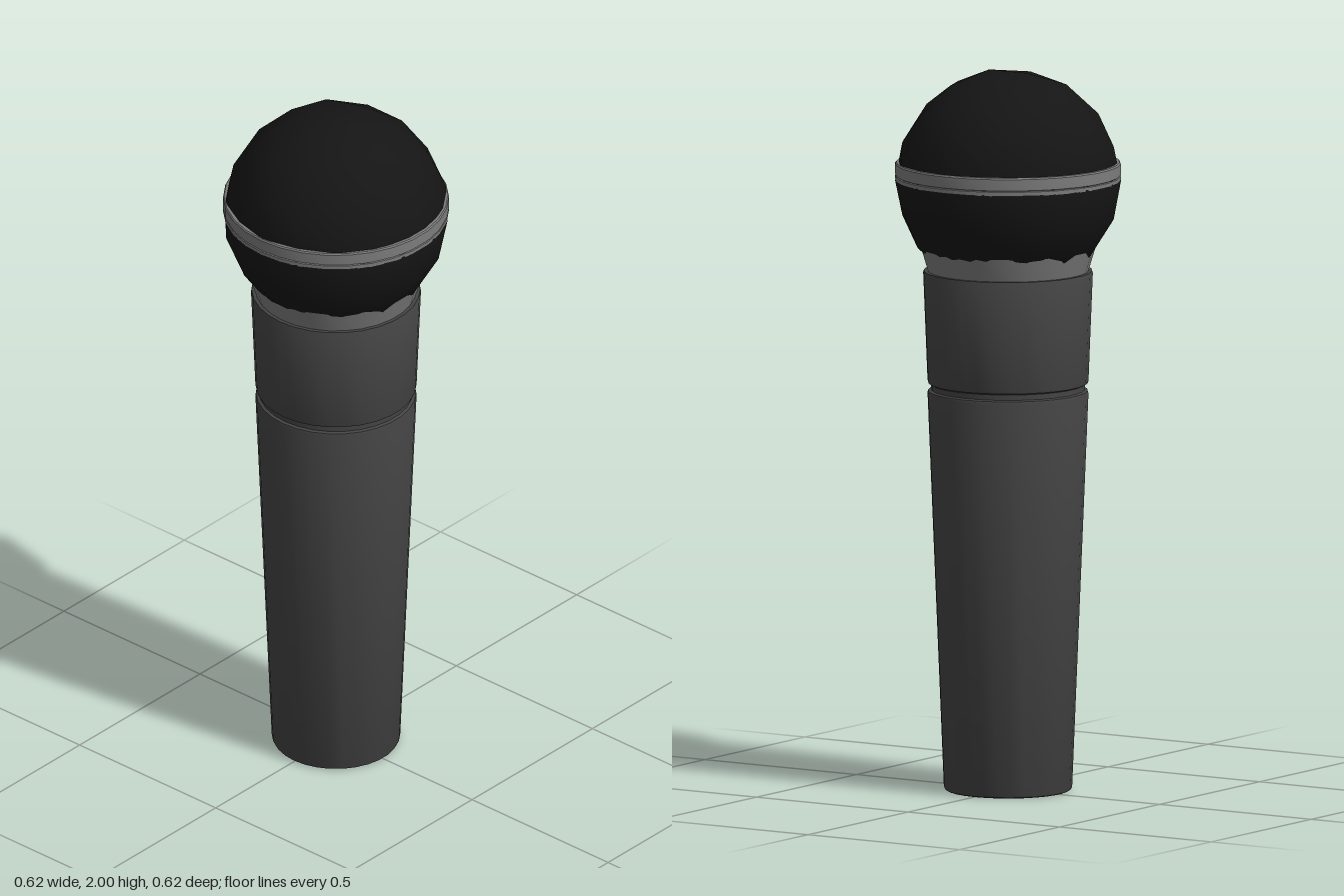
import * as THREE from 'three';
import { toCreasedNormals } from 'three/addons/utils/BufferGeometryUtils.js';

const paint = (color) => new THREE.MeshStandardMaterial({ color });

// Round part from a [radius, height] profile listed from bottom to top
function turned(name, profile, material, segments = 30) {
  const points = profile.map(([r, y]) => new THREE.Vector2(r, y));
  const geometry = toCreasedNormals(new THREE.LatheGeometry(points, segments), 0.6);
  const mesh = new THREE.Mesh(geometry, material);
  mesh.name = name;
  return mesh;
}

export function createModel() {
  const model = new THREE.Group();
  model.name = 'microphone';
  const plastic = paint(0x444444);
  const metal = paint(0x7c7c7c);
  const mesh = paint(0x151515);

  // Tapered handle with a softened bottom edge
  model.add(turned('handle', [
    [0, 0], [0.168, 0], [0.174, 0.003], [0.177, 0.01],
    [0.222, 1.105], [0.22, 1.112], [0.212, 1.115], [0, 1.115],
  ], plastic));

  // Narrow core showing in the groove between handle and neck
  model.add(turned('groove', [[0.212, 1.1], [0.212, 1.15]], plastic));

  // Neck sleeve below the head
  model.add(turned('neck', [
    [0, 1.13], [0.212, 1.13], [0.22, 1.134], [0.222, 1.14],
    [0.234, 1.44], [0.232, 1.446], [0, 1.446],
  ], plastic));

  // Flared metal collar that the ball sits in
  model.add(turned('collar', [[0.22, 1.44], [0.241, 1.51], [0.2, 1.51]], metal));

  // Ball grille with smooth shading over coarse facets
  const grille = new THREE.Mesh(new THREE.IcosahedronGeometry(0.311, 2), mesh);
  grille.name = 'grille';
  grille.position.y = 1.695;
  model.add(grille);

  // Metal band around the ball, with a fine line near its lower edge
  model.add(turned('band', [
    [0.29, 1.698], [0.311, 1.698], [0.311, 1.709], [0.308, 1.711],
    [0.311, 1.713], [0.311, 1.744], [0.308, 1.748], [0.28, 1.748],
  ], metal));

  return model;
}
